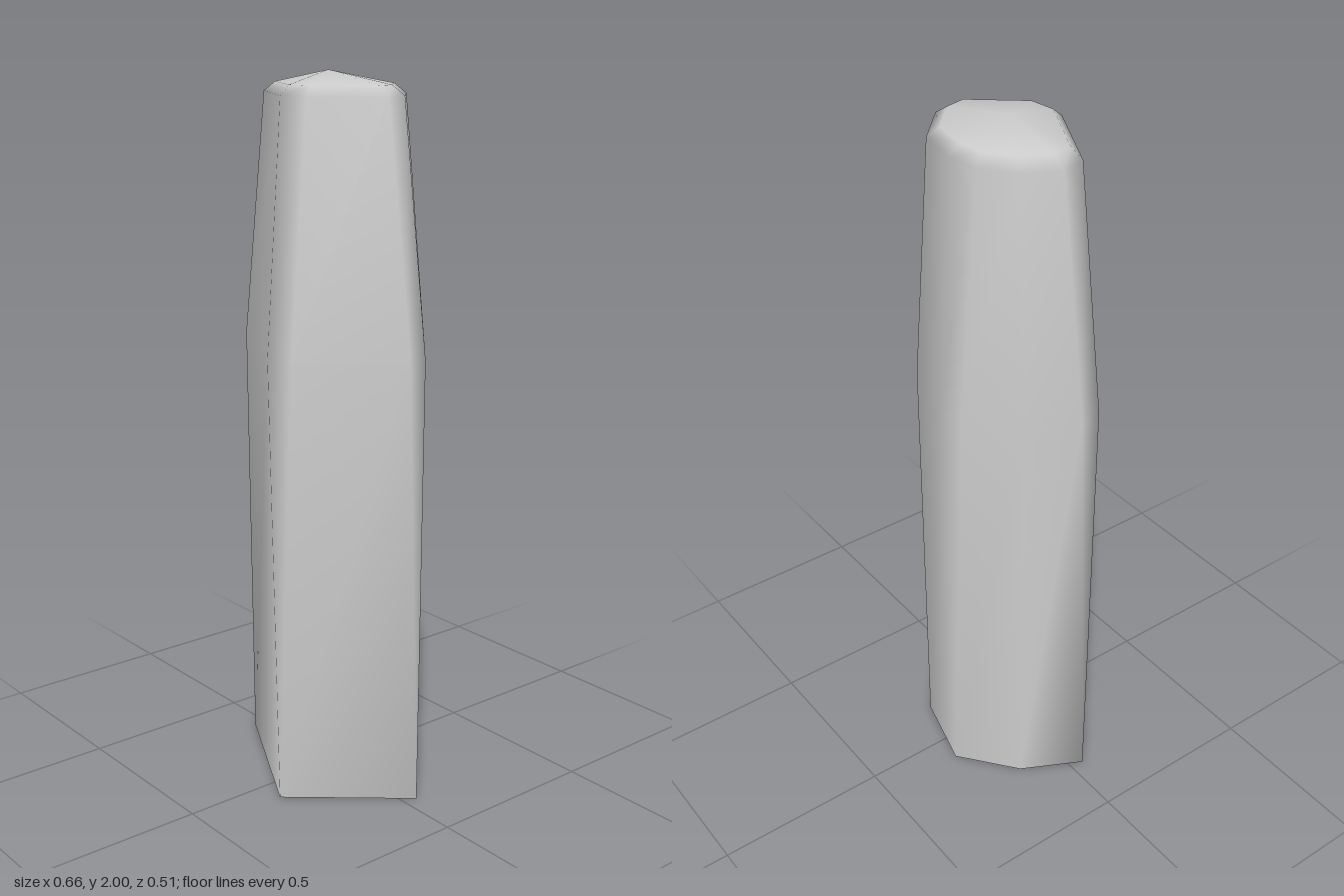
import * as THREE from 'three';
import { mergeVertices } from 'three/addons/utils/BufferGeometryUtils.js';

// Outlines as [x, z], running back, right, front, left.
// Paired corners at the foot coincide, so the chamfers taper to a point there.
const foot = [[-0.08, -0.257], [-0.08, -0.257], [0.14, -0.2], [0.33, -0.04], [0.33, -0.04],
  [0.08, 0.255], [0.08, 0.255], [-0.33, 0.04], [-0.33, 0.04], [-0.24, -0.13]];
const shoulder = [[-0.12, -0.237], [-0.04, -0.25], [0.14, -0.2], [0.305, -0.07], [0.32, -0.003],
  [0.12, 0.235], [0.035, 0.248], [-0.307, 0.068], [-0.322, 0], [-0.24, -0.13]];
const crown = [[-0.107, -0.172], [-0.017, -0.187], [0.11, -0.165], [0.222, -0.06], [0.238, 0.01],
  [0.105, 0.17], [0.015, 0.183], [-0.224, 0.057], [-0.24, -0.013], [-0.195, -0.105]];

const scaled = (ring, s) => ring.map(([x, z]) => [x * s, z * s]);

// Skin stacked outlines, skipping collapsed triangles
function loft(levels) {
  const positions = [];
  const addTriangle = (...corners) => {
    const [a, b, c] = corners.map((p) => new THREE.Vector3(...p));
    if (new THREE.Triangle(a, b, c).getArea() > 1e-7) positions.push(...corners.flat());
  };
  const at = ({ y, ring }, i) => {
    const [x, z] = ring[i % ring.length];
    return [x, y, z];
  };
  for (let k = 0; k < levels.length - 1; k++) {
    for (let i = 0; i < foot.length; i++) {
      const a = at(levels[k], i), b = at(levels[k + 1], i);
      const c = at(levels[k], i + 1), d = at(levels[k + 1], i + 1);
      addTriangle(a, b, c);
      addTriangle(b, d, c);
    }
  }
  let geometry = new THREE.BufferGeometry();
  geometry.setAttribute('position', new THREE.Float32BufferAttribute(positions, 3));
  geometry = mergeVertices(geometry, 1e-4);
  geometry.computeVertexNormals();
  return geometry;
}

export function createModel() {
  const group = new THREE.Group();
  group.name = 'standingStone';

  // Tapered stone with a shallow pointed top and an open underside
  const stone = new THREE.Mesh(
    loft([
      { y: 0, ring: foot },
      { y: 1.26, ring: shoulder },
      { y: 1.94, ring: crown },
      { y: 1.966, ring: scaled(crown, 0.83) },
      { y: 2, ring: crown.map(() => [-0.015, 0]) },
    ]),
    new THREE.MeshStandardMaterial({ color: 0xcccccc, side: THREE.DoubleSide }),
  );
  stone.name = 'stone';
  group.add(stone);
  return group;
}
